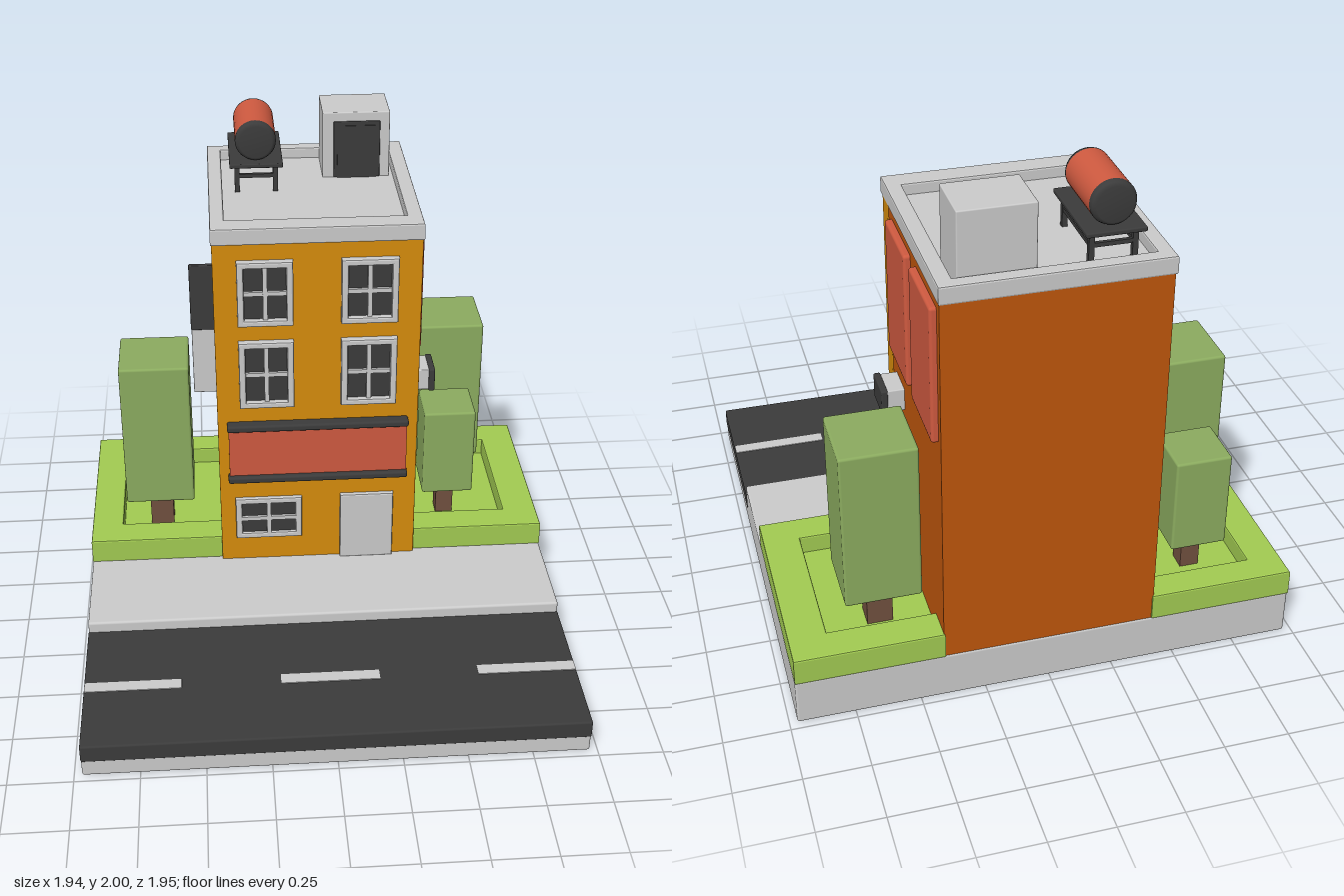
import * as THREE from 'three';
import { RoundedBoxGeometry } from 'three/addons/geometries/RoundedBoxGeometry.js';

const mat = (name, color) => Object.assign(new THREE.MeshStandardMaterial({ color }), { name });
const M = {
  facade: mat('amber facade', 0xd68c0c),
  wall: mat('burnt orange wall', 0xbe560c),
  red: mat('brick red', 0xcf5a40),
  dark: mat('charcoal', 0x3b3b3b),
  stone: mat('light stone', 0xcbcbcb),
  grass: mat('grass green', 0xa2cb52),
  leaf: mat('foliage green', 0x8bab5f),
  trunk: mat('bark brown', 0x70503f),
};

export function createModel() {
  const root = new THREE.Group();
  root.name = 'streetCornerBuilding';

  const add = (name, geo, material, parent = root) => {
    const m = new THREE.Mesh(geo, material);
    m.name = name;
    parent.add(m);
    return m;
  };
  const group = (name) => {
    const g = new THREE.Group();
    g.name = name;
    root.add(g);
    return g;
  };
  // box from min/max extents, softly rounded when r > 0
  const box = (name, material, [x0, x1], [y0, y1], [z0, z1], r = 0, parent = root) => {
    const s = [x1 - x0, y1 - y0, z1 - z0];
    const geo = r ? new RoundedBoxGeometry(...s, 2, r) : new THREE.BoxGeometry(...s);
    const m = add(name, geo, material, parent);
    m.position.set((x0 + x1) / 2, (y0 + y1) / 2, (z0 + z1) / 2);
    return m;
  };
  const rect = (Type, x0, x1, y0, y1) => new Type([[x0, y0], [x1, y0], [x1, y1], [x0, y1]]
    .map(([x, y]) => new THREE.Vector2(x, y)));
  // extrusion with a small chamfer kept inside the outline, occupying 0..depth
  const slab = (shape, depth, b = 0.007) => new THREE.ExtrudeGeometry(shape, {
    depth: depth - 2 * b, bevelThickness: b, bevelSize: b, bevelOffset: -b, bevelSegments: 2,
  }).translate(0, 0, b);
  const flat = (shape, depth) => slab(shape, depth).rotateX(-Math.PI / 2);

  // ground and street
  box('groundSlab', M.stone, [-0.97, 0.97], [0, 0.08], [-0.97, 0.97], 0.01);
  box('pavement', M.stone, [-0.97, 0.97], [0.01, 0.19], [-0.97, 0.29], 0.01);
  box('road', M.dark, [-0.972, 0.972], [0.068, 0.143], [0.28, 0.973], 0.008);
  for (const [a, b] of [[-0.97, -0.59], [-0.2, 0.19], [0.58, 0.97]])
    box('roadStripe', M.stone, [a, b], [0.14, 0.146], [0.61, 0.663]);

  // building shell
  box('buildingBody', M.wall, [-0.41, 0.41], [0.18, 1.69], [-0.966, -0.2]);
  box('frontFacade', M.facade, [-0.413, 0.413], [0.18, 1.69], [-0.21, -0.12], 0.006);

  // roof with parapet (shape y is -z)
  const parapet = rect(THREE.Shape, -0.417, 0.413, 0.09, 0.97);
  parapet.holes.push(rect(THREE.Path, -0.36, 0.353, 0.182, 0.915));
  add('parapet', flat(parapet, 0.07), M.stone).position.y = 1.68;
  box('roofDeck', M.stone, [-0.38, 0.38], [1.685, 1.705], [-0.94, -0.15]);

  // stair house
  const stair = group('stairHouse');
  box('stairHouseBody', M.stone, [0.06, 0.337], [1.69, 1.985], [-0.912, -0.692], 0.005, stair);
  box('stairHouseDoor', M.dark, [0.105, 0.297], [1.705, 1.947], [-0.7, -0.686], 0.004, stair);
  box('doorPanel', M.dark, [0.12, 0.282], [1.705, 1.93], [-0.69, -0.683], 0, stair);

  // water tank on its stand
  const tank = group('waterTank');
  const cx = -0.22, cz = -0.713;
  const drum = add('tankDrum', new THREE.CylinderGeometry(0.083, 0.083, 0.25, 32).rotateX(Math.PI / 2), M.red, tank);
  drum.position.set(cx, 1.917, cz);
  const capProfile = [[0.083, 0], [0.083, 0.008], [0.078, 0.02], [0.066, 0.03], [0, 0.03]]
    .map(([r, y]) => new THREE.Vector2(r, y));
  for (const s of [-1, 1]) {
    const cap = add('tankCap', new THREE.LatheGeometry(capProfile, 32).rotateX(s * Math.PI / 2), M.dark, tank);
    cap.position.set(cx, 1.917, cz + s * 0.125);
  }
  box('standTop', M.dark, [cx - 0.108, cx + 0.108], [1.818, 1.836], [cz - 0.185, cz + 0.185], 0.005, tank);
  for (const sx of [-1, 1]) {
    const x = cx + sx * 0.078;
    for (const sz of [-1, 1]) {
      const z = cz + sz * 0.145;
      box('standLeg', M.dark, [x - 0.01, x + 0.01], [1.7, 1.82], [z - 0.01, z + 0.01], 0, tank);
    }
    box('sideRail', M.dark, [x - 0.007, x + 0.007], [1.765, 1.781], [cz - 0.145, cz + 0.145], 0, tank);
  }
  for (const s of [-1, 1]) {
    const z = cz + s * 0.145;
    box('endRail', M.dark, [cx - 0.078, cx + 0.078], [1.765, 1.781], [z - 0.007, z + 0.007], 0, tank);
  }

  // windows and door
  const opening = (name, [x0, x1], [y0, y1], front, isDoor = false) => {
    const g = group(name), w = 0.027;
    const frame = rect(THREE.Shape, x0, x1, y0, y1);
    frame.holes.push(rect(THREE.Path, x0 + w, x1 - w, isDoor ? y0 + 0.012 : y0 + w, y1 - w));
    add('frame', slab(frame, front + 0.125), M.stone, g).position.z = -0.125;
    box(isDoor ? 'doorLeaf' : 'glass', M.dark, [x0 + 0.015, x1 - 0.015], [y0 + 0.005, y1 - 0.015], [-0.121, -0.113], 0, g);
    if (isDoor) {
      box('doorInset', M.dark, [x0 + 0.04, x1 - 0.04], [y0 + 0.025, y1 - 0.04], [-0.114, -0.109], 0, g);
      return;
    }
    const mx = (x0 + x1) / 2, my = (y0 + y1) / 2;
    box('verticalBar', M.stone, [mx - 0.009, mx + 0.009], [y0 + 0.02, y1 - 0.02], [-0.12, -0.1], 0, g);
    box('crossBar', M.stone, [x0 + 0.02, x1 - 0.02], [my - 0.009, my + 0.009], [-0.12, -0.101], 0, g);
  };
  for (const xs of [[-0.32, -0.098], [0.092, 0.318]])
    for (const ys of [[1.325, 1.605], [0.952, 1.253]]) opening('upperWindow', xs, ys, -0.09);
  opening('shopWindow', [-0.35, -0.07], [0.305, 0.505], -0.1);
  opening('frontDoor', [0.092, 0.318], [0.188, 0.508], -0.1, true);

  // shop sign between two dark rails
  const sign = group('shopSign');
  box('signPanel', M.red, [-0.37, 0.367], [0.61, 0.865], [-0.125, -0.095], 0, sign);
  for (const y of [0.6, 0.848])
    box('signRail', M.dark, [-0.376, 0.372], [y, y + 0.03], [-0.125, -0.073], 0.01, sign);

  // blade sign on the -x wall
  box('bladeSignTop', M.dark, [-0.505, -0.405], [1.288, 1.57], [-0.177, -0.155], 0.004);
  box('bladeSignBottom', M.stone, [-0.503, -0.405], [1.002, 1.29], [-0.176, -0.156], 0.004);

  // panels and air conditioner on the +x wall
  for (const z of [[-0.555, -0.253], [-0.932, -0.628]])
    box('wallPanel', M.red, [0.4, 0.436], [1.12, 1.655], z, 0.012);
  box('airConditioner', M.stone, [0.4, 0.48], [0.915, 1.008], [-0.395, -0.263], 0.004);
  box('airConditionerGrille', M.dark, [0.474, 0.5], [0.91, 1.012], [-0.4, -0.257], 0.006);

  // U-shaped planters with sunken lawns; s picks the side
  for (const s of [-1, 1]) {
    const g = group(s > 0 ? 'leftGarden' : 'rightGarden');
    const inner = s > 0 ? 0.825 : 0.838;
    const zb = s > 0 ? 0.843 : 0.857, zf = 0.265;
    const pts = [[0.405, 0.138], [0.97, 0.138], [0.97, 0.973], [0.405, 0.973],
      [0.405, zb], [inner, zb], [inner, zf], [0.405, zf]].map(([x, y]) => new THREE.Vector2(s * x, y));
    add('planterBorder', flat(new THREE.Shape(pts), 0.11), M.grass, g).position.y = 0.185;
    const xs = [s * 0.4, s * 0.9].sort((a, b) => a - b);
    box('lawn', M.grass, xs, [0.18, 0.22], [-0.92, -0.2], 0, g);
  }

  // block trees: centre x, centre z, crown width, crown bottom, crown top
  const trees = [
    [-0.67, -0.413, 0.29, 0.4, 1.053], [-0.645, -0.707, 0.222, 0.37, 0.77],
    [0.605, -0.705, 0.29, 0.4, 1.053], [0.58, -0.41, 0.22, 0.37, 0.77],
  ];
  for (const [x, z, w, y0, y1] of trees) {
    const g = group('tree'), h = w / 2, t = w * 0.17;
    box('crown', M.leaf, [x - h, x + h], [y0, y1], [z - h, z + h], 0.01, g);
    box('trunk', M.trunk, [x - t, x + t], [0.21, y0 + 0.02], [z - t, z + t], 0, g);
  }
  return root;
}
